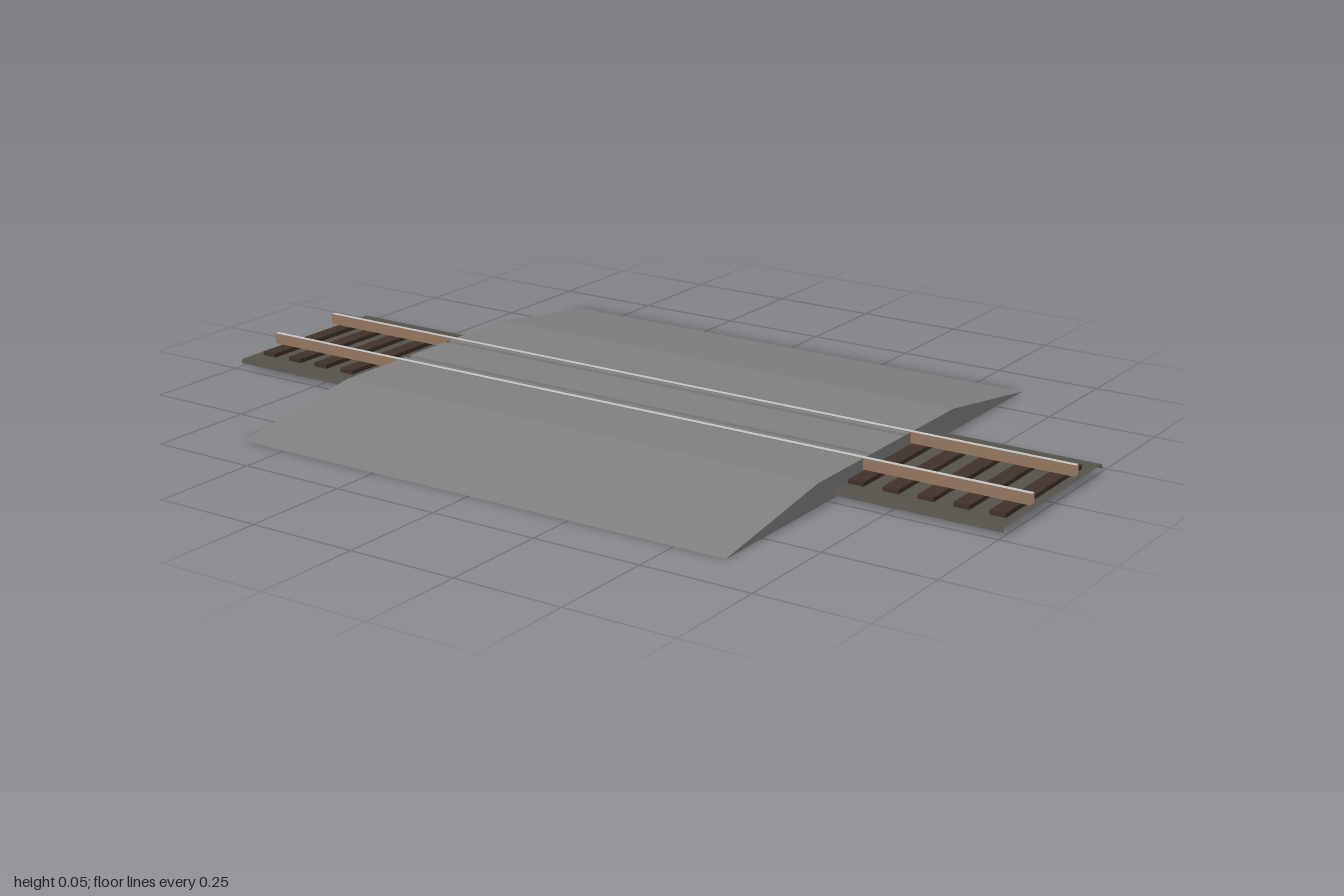
import * as THREE from 'three';

const mat = (name, color) => {
  const m = new THREE.MeshStandardMaterial({ color, side: THREE.DoubleSide });
  m.name = name;
  return m;
};

// Open sheet: a (z, y) profile swept straight along x, with hard edges
function sheet(name, profile, halfLength, material) {
  const pos = [];
  for (let i = 0; i < profile.length - 1; i++) {
    const [z0, y0] = profile[i], [z1, y1] = profile[i + 1];
    const a = [-halfLength, y0, z0], b = [-halfLength, y1, z1];
    const c = [halfLength, y1, z1], d = [halfLength, y0, z0];
    pos.push(...a, ...b, ...c, ...a, ...c, ...d);
  }
  const geo = new THREE.BufferGeometry();
  geo.setAttribute('position', new THREE.Float32BufferAttribute(pos, 3));
  geo.computeVertexNormals();
  const mesh = new THREE.Mesh(geo, material);
  mesh.name = name;
  return mesh;
}

export function createModel() {
  const asphalt = mat('asphalt', 0x808080);
  const gravel = mat('gravel', 0x55524a);
  const wood = mat('dark wood', 0x41322b);
  const rust = mat('rusty steel', 0x94775f);
  const steel = mat('polished steel', 0xc4c4c4);

  const model = new THREE.Group();
  model.name = 'levelCrossing';

  const roadX = 0.618, roadZ = 0.633, flatZ = 0.29, roadY = 0.051;
  const slotIn = 0.066, slotOut = 0.082, slotY = 0.03;

  // Gravel bed with turned-down edges
  model.add(sheet('gravelBed',
    [[-0.228, 0.007], [-0.226, 0.017], [0.226, 0.017], [0.228, 0.007]], 1, gravel));

  // Sleepers
  const sleepers = new THREE.Group();
  sleepers.name = 'sleepers';
  const sleeperGeo = new THREE.BoxGeometry(0.036, 0.011, 0.35);
  for (let i = 0; i < 25; i++) {
    const s = new THREE.Mesh(sleeperGeo, wood);
    s.name = 'sleeper';
    s.position.set(-0.96 + i * 0.08, 0.0215, 0);
    sleepers.add(s);
  }
  model.add(sleepers);

  // Rails: rusty sides and a polished running surface
  for (const side of [-1, 1]) {
    const z = side * 0.102, w = 0.006, top = 0.052, bottom = 0.027;
    const rail = new THREE.Group();
    rail.name = side > 0 ? 'frontRail' : 'backRail';
    rail.add(
      sheet('railBackSide', [[z - w, bottom], [z - w, top]], 1, rust),
      sheet('railFrontSide', [[z + w, top], [z + w, bottom]], 1, rust),
      sheet('railTop', [[z - w, top], [z + w, top]], 1, steel));
    model.add(rail);
  }

  // Road ramps and the panel between the rails, with a wheel slot inside each rail
  const road = new THREE.Group();
  road.name = 'road';
  road.add(
    sheet('backRamp', [[-roadZ, 0], [-flatZ, roadY], [-slotOut, roadY], [-slotOut, slotY]], roadX, asphalt),
    sheet('centrePanel', [[-slotIn, slotY], [-slotIn, roadY], [slotIn, roadY], [slotIn, slotY]], roadX, asphalt),
    sheet('frontRamp', [[slotOut, slotY], [slotOut, roadY], [flatZ, roadY], [roadZ, 0]], roadX, asphalt));
  for (const side of [-1, 1]) {
    const z = side * (slotIn + slotOut) / 2, w = (slotOut - slotIn) / 2;
    road.add(sheet('wheelSlotFloor', [[z - w, slotY], [z + w, slotY]], roadX, wood));
  }

  // Road end walls
  const endGeo = new THREE.ShapeGeometry(new THREE.Shape([
    new THREE.Vector2(-roadZ, 0), new THREE.Vector2(roadZ, 0),
    new THREE.Vector2(flatZ, roadY), new THREE.Vector2(-flatZ, roadY)]));
  for (const side of [-1, 1]) {
    const end = new THREE.Mesh(endGeo, asphalt);
    end.name = side > 0 ? 'leftRoadEnd' : 'rightRoadEnd';
    end.rotation.y = side * Math.PI / 2;
    end.position.x = side * roadX;
    road.add(end);
  }
  model.add(road);
  return model;
}
